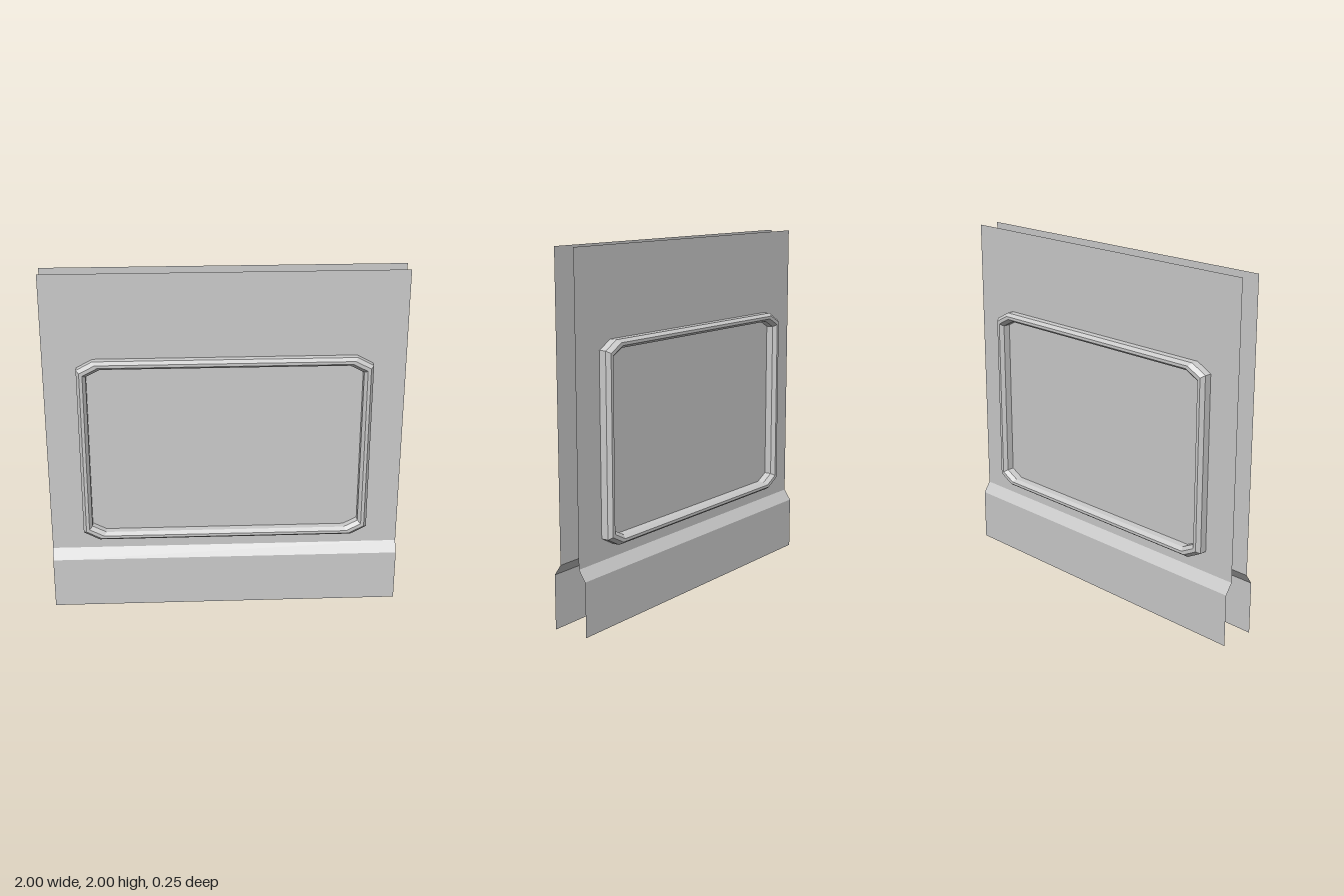
import * as THREE from 'three';

const INNER_Z = 0.0625, STEP_Z = 0.104, FACE_Z = 0.1255;

const material = new THREE.MeshStandardMaterial({
  color: 0xcccccc, flatShading: true, side: THREE.DoubleSide,
});

// Skin a surface over rows of [x, y, z] points; closed joins each row's ends.
function loft(rows, closed) {
  const n = rows[0].length;
  const index = [];
  for (let r = 0; r < rows.length - 1; r++) {
    for (let k = 0; k < (closed ? n : n - 1); k++) {
      const next = (k + 1) % n;
      const a = r * n + k, b = r * n + next;
      index.push(a, b, b + n, a, b + n, a + n);
    }
  }
  const geometry = new THREE.BufferGeometry();
  geometry.setAttribute('position', new THREE.Float32BufferAttribute(rows.flat(2), 3));
  geometry.setIndex(index);
  const faceted = geometry.toNonIndexed();
  faceted.computeVertexNormals();
  return faceted;
}

// Rectangle with cut corners; t runs from the outer edge (0) to the inner edge (1).
function frameRing(t, z) {
  const mix = (a, b) => a + (b - a) * t;
  const w = mix(0.815, 0.763), h = mix(0.544, 0.497);
  const cw = mix(0.725, 0.685), ch = mix(0.496, 0.457);
  const outline = [[w, -ch], [w, ch], [cw, h], [-cw, h], [-w, ch], [-w, -ch], [-cw, -h], [cw, -h]];
  return outline.map(([x, y]) => [x, y + 0.976, z]);
}

function namedMesh(name, geometry) {
  const mesh = new THREE.Mesh(geometry, material);
  mesh.name = name;
  return mesh;
}

export function createModel() {
  const model = new THREE.Group();
  model.name = 'windowWallPanels';

  // Thin sheet with a sloping ledge above a thicker skirt
  const sheet = loft(
    [[0, STEP_Z], [0.3, STEP_Z], [0.36, INNER_Z], [2, INNER_Z]]
      .map(([y, z]) => [[-1, y, z], [1, y, z]]), false);

  // Bevelled window surround
  const surround = loft([
    frameRing(0, INNER_Z), frameRing(0, STEP_Z), frameRing(0.33, FACE_Z),
    frameRing(0.67, FACE_Z), frameRing(1, STEP_Z), frameRing(1, INNER_Z),
  ], true);

  // The same side faces forward and, turned round, backward
  ['front', 'back'].forEach((name, i) => {
    const side = new THREE.Group();
    side.name = name + 'Side';
    side.add(namedMesh(name + 'Panel', sheet), namedMesh(name + 'WindowFrame', surround));
    side.rotation.y = i * Math.PI;
    model.add(side);
  });
  return model;
}
